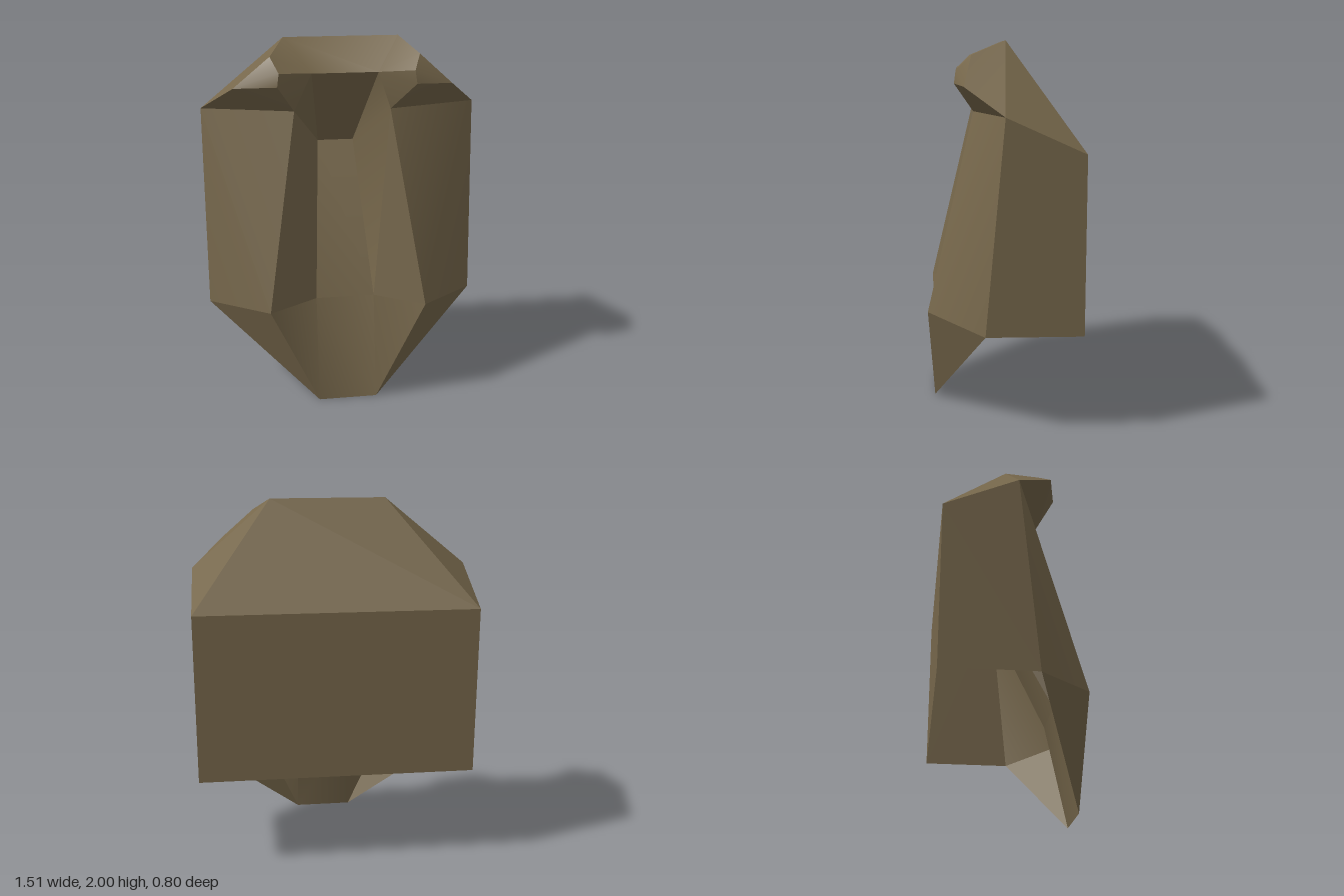
import * as THREE from 'three';
import { toCreasedNormals } from 'three/addons/utils/BufferGeometryUtils.js';

// Corner points of the left (+x) half; the other half is mirrored
const P = {
  crown: [0.315, 2, -0.02],
  browMid: [0.18, 1.83, 0.15],
  lumpTop: [0.4, 1.925, 0.16],
  lumpFront: [0.36, 1.85, 0.24],
  lumpLow: [0.37, 1.78, 0.25],
  browEnd: [0.585, 1.77, 0.2],
  temple: [0.757, 1.63, 0],
  cheekTop: [0.262, 1.63, 0.15],
  cheekLow: [0.43, 0.57, 0.4],
  noseTop: [0.102, 1.39, -0.15],
  noseLow: [0.163, 0.58, 0.255],
  chin: [0.163, 0, 0.375],
  jaw: [0.757, 0.53, 0.1],
  backLow: [0.757, 0.53, -0.4],
  backTop: [0.757, 1.45, -0.4],
};
// The crown and brow sit slightly off the centre line
const OFF_CENTRE = new Set(['crown', 'browMid', 'lumpTop', 'lumpFront', 'lumpLow']);

function corner(name, side) {
  const [x, y, z] = P[name];
  return [x * side + (OFF_CENTRE.has(name) ? 0.013 : 0), y, z];
}

// faces: polygons repeated on both sides; strip: points joined across the middle
function makePart(name, material, faces, strip) {
  const pos = [];
  const addPolygon = (pts) => {
    for (let i = 1; i < pts.length - 1; i++) pos.push(...pts[0], ...pts[i], ...pts[i + 1]);
  };
  for (const face of faces) {
    const names = face.split(' ');
    addPolygon(names.map((n) => corner(n, 1)));
    addPolygon(names.map((n) => corner(n, -1)).reverse());
  }
  for (let i = 0; i < strip.length - 1; i++) {
    const [a, b] = [strip[i], strip[i + 1]];
    addPolygon([corner(a, -1), corner(b, -1), corner(b, 1), corner(a, 1)]);
  }
  const geometry = new THREE.BufferGeometry();
  geometry.setAttribute('position', new THREE.Float32BufferAttribute(pos, 3));
  const mesh = new THREE.Mesh(toCreasedNormals(geometry, 0.52), material);
  mesh.name = name;
  return mesh;
}

export function createModel() {
  const group = new THREE.Group();
  group.name = 'mask';
  const clay = new THREE.MeshStandardMaterial({ color: 0x76674b, side: THREE.DoubleSide });
  clay.name = 'brownClay';

  // Sides, back and sloping back of the crown; the bottom stays open
  group.add(makePart('shell', clay, [
    'temple jaw backLow backTop',
    'crown temple backTop',
  ], ['backLow', 'backTop', 'crown']));

  // Forehead, brow lumps and their overhanging undersides
  group.add(makePart('brow', clay, [
    'crown browMid lumpTop',
    'browMid lumpFront lumpTop',
    'browMid lumpLow lumpFront',
    'browMid cheekTop lumpLow',
    'cheekTop browEnd lumpLow',
    'cheekTop temple browEnd',
    'lumpTop lumpFront browEnd',
    'lumpFront lumpLow browEnd',
    'crown lumpTop browEnd',
    'crown browEnd temple',
  ], ['crown', 'browMid']));

  // Cheeks with the walls that drop into the central hollow
  group.add(makePart('cheeks', clay, [
    'cheekTop cheekLow temple',
    'cheekLow jaw temple',
    'cheekTop noseLow cheekLow',
    'cheekTop noseTop noseLow',
    'cheekTop browMid noseTop',
  ], []));

  // Roof of the hollow, its sloping floor and the chin
  group.add(makePart('noseAndChin', clay, [
    'noseLow chin cheekLow',
    'cheekLow chin jaw',
  ], ['browMid', 'noseTop', 'noseLow', 'chin']));

  return group;
}
